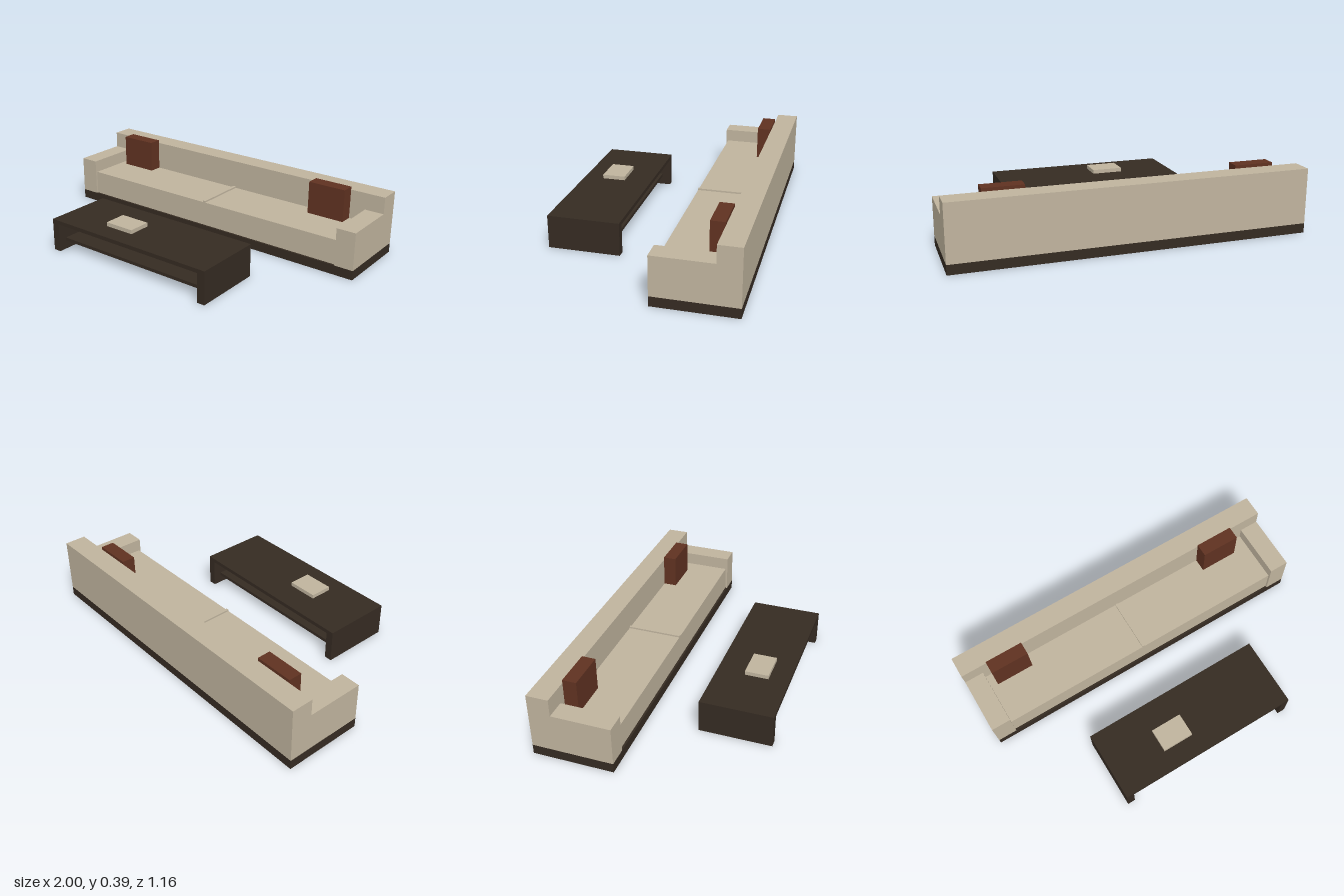
import * as THREE from 'three';

const fabric = new THREE.MeshStandardMaterial({ color: 0xc0b49e });
fabric.name = 'beige fabric';
const wood = new THREE.MeshStandardMaterial({ color: 0x352b22 });
wood.name = 'dark wood';
const rust = new THREE.MeshStandardMaterial({ color: 0x603221 });
rust.name = 'rust fabric';

// Box given by its extents along each axis
function block(parent, name, material, [x0, x1], [y0, y1], [z0, z1]) {
  const mesh = new THREE.Mesh(new THREE.BoxGeometry(x1 - x0, y1 - y0, z1 - z0), material);
  mesh.position.set((x0 + x1) / 2, (y0 + y1) / 2, (z0 + z1) / 2);
  mesh.name = name;
  parent.add(mesh);
}

function createSofa() {
  const sofa = new THREE.Group();
  sofa.name = 'sofa';
  const back = -0.58, front = -0.125, rest = -0.455, base = 0.055, t = 0.006;

  // Hollow plinth, closed by a panel under the seat
  block(sofa, 'plinthPanel', wood, [-1 + t, 1 - t], [base - 0.005, base], [back + t, front - t]);
  block(sofa, 'plinthFront', wood, [-1, 1], [0, base], [front - t, front]);
  block(sofa, 'plinthBack', wood, [-1, 1], [0, base], [back, back + t]);
  block(sofa, 'plinthLeft', wood, [1 - t, 1], [0, base], [back + t, front - t]);
  block(sofa, 'plinthRight', wood, [-1, -1 + t], [0, base], [back + t, front - t]);

  // Upholstery
  block(sofa, 'backrest', fabric, [-1, 1], [base, 0.373], [back, rest]);
  block(sofa, 'armLeft', fabric, [0.887, 1], [base, 0.275], [rest, front]);
  block(sofa, 'armRight', fabric, [-1, -0.887], [base, 0.275], [rest, front]);
  block(sofa, 'seat', fabric, [-0.887, 0.887], [base, 0.2], [rest, -0.137]);
  block(sofa, 'seatSeam', fabric, [-0.011, 0.006], [0.2, 0.21], [rest, -0.137]);

  // Loose cushions
  for (const x of [-0.845, 0.567]) {
    block(sofa, 'cushion', rust, [x, x + 0.226], [0.2, 0.391], [rest, -0.377]);
  }
  return sofa;
}

function createTable() {
  const table = new THREE.Group();
  table.name = 'coffeeTable';
  const z = [0.17, 0.58];
  block(table, 'tableTop', wood, [-0.545, 0.541], [0.168, 0.191], z);
  block(table, 'legLeft', wood, [0.496, 0.541], [0, 0.168], z);
  block(table, 'legRight', wood, [-0.545, -0.5], [0, 0.168], z);
  block(table, 'shelf', wood, [-0.5, 0.496], [0.05, 0.069], [0.22, 0.53]);
  block(table, 'book', fabric, [-0.23, -0.047], [0.191, 0.214], [0.33, 0.465]);
  return table;
}

export function createModel() {
  const model = new THREE.Group();
  model.name = 'sofaAndTable';
  model.add(createSofa(), createTable());
  return model;
}
